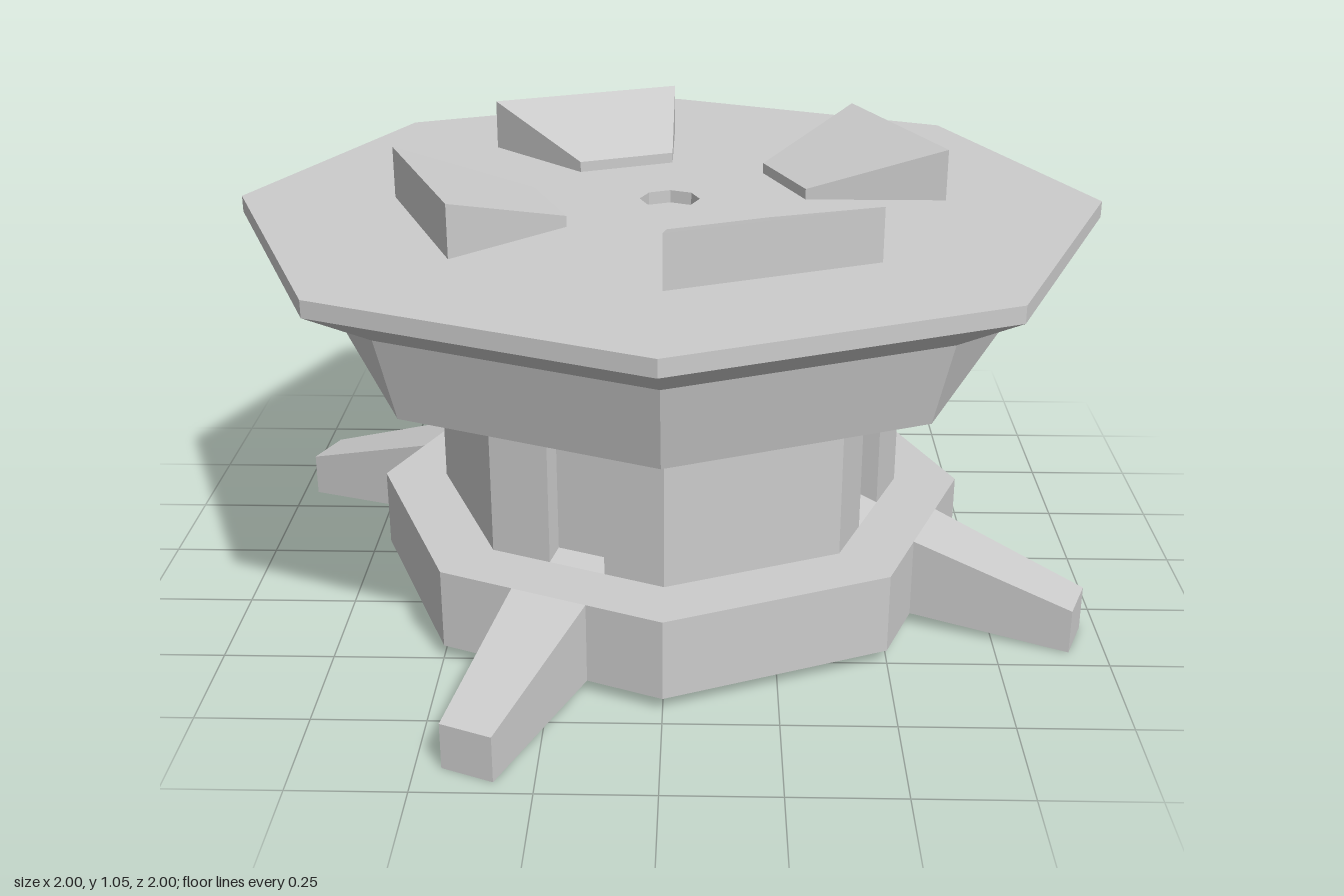
import * as THREE from 'three';

const material = new THREE.MeshStandardMaterial({ color: 0xcccccc, flatShading: true, side: THREE.DoubleSide });
const QUARTER = Math.PI / 2, HALF_SIDE = Math.PI / 8;

// Flat-shaded mesh from quads, corners counter-clockwise seen from outside
function quadMesh(name, quads) {
  const pos = [];
  for (const [a, b, c, d] of quads) pos.push(...a, ...b, ...c, ...a, ...c, ...d);
  const geo = new THREE.BufferGeometry();
  geo.setAttribute('position', new THREE.Float32BufferAttribute(pos, 3));
  geo.computeVertexNormals();
  const mesh = new THREE.Mesh(geo, material);
  mesh.name = name;
  return mesh;
}

// Octagonal turned part with corners on the x and z axes
function octagon(name, profile) {
  const pts = profile.map(([r, y]) => new THREE.Vector2(r, y));
  const mesh = new THREE.Mesh(new THREE.LatheGeometry(pts, 8), material);
  mesh.name = name;
  return mesh;
}

// Upright rectangle facing +z at depth z
const wall = (x0, x1, y0, y1, z) => [[x0, y0, z], [x1, y0, z], [x1, y1, z], [x0, y1, z]];

// Side faces joining a back rectangle to a front rectangle
function sleeve(back, front) {
  return back.map((p, i) => {
    const j = (i + 1) % 4;
    return [p, back[j], front[j], front[i]];
  });
}

// Octagon side: distance from the axis and half width
const side = (r) => [r * Math.cos(HALF_SIDE), r * Math.sin(HALF_SIDE)];

// Four copies around the axis; the part is built facing +z
function fourTimes(name, make, start) {
  const group = new THREE.Group();
  group.name = name;
  for (let i = 0; i < 4; i++) {
    const part = make();
    part.rotation.y = start + i * QUARTER;
    group.add(part);
  }
  return group;
}

export function createModel() {
  const model = new THREE.Group();
  model.name = 'pedestal';
  const colR = 0.555, baseR = 0.705;
  const colLow = 0.22, colHigh = 0.617, baseLow = 0.032;
  const [colZ, colW] = side(colR);
  const [baseZ, baseW] = side(baseR);

  // Collar, flared rim and top plate with the centre hole
  model.add(octagon('topPlatform', [
    [0.025, colHigh], [0.79, colHigh], [0.84, 0.807], [1, 0.897], [1, 0.935],
    [0.07, 0.935], [0.07, 0.905], [0.025, 0.905], [0.025, colHigh],
  ]));

  // Wedge cleats on the top plate, rising outward
  const cleat = () => {
    const s = Math.SQRT1_2;
    const ring = (ri, ro, yi, yo) => [
      [0, yi, ri], [0, yo, ro], [ro * s, yo, ro * s], [ri * s, yi, ri * s],
    ];
    const bottom = ring(0.315, 0.64, 0.935, 0.935), top = ring(0.315, 0.64, 0.96, 1.055);
    return quadMesh('cleat', [top, ...sleeve(bottom, top)]);
  };
  model.add(fourTimes('cleats', cleat, 0));

  // Hollow column: plain sides alternate with recessed sides
  const slot = 0.068;
  const recessedSide = () => {
    const outer = wall(-slot, slot, colLow, colHigh, colZ);
    const inner = wall(-slot, slot, colLow + 0.015, colHigh - 0.017, colZ - 0.045);
    return quadMesh('recessedSide', [
      wall(-colW, -slot, colLow, colHigh, colZ),
      wall(slot, colW, colLow, colHigh, colZ),
      inner, ...sleeve(inner, outer).map((q) => q.reverse()).map((q) => q.reverse()),
    ]);
  };
  const plainSide = () => quadMesh('plainSide', [wall(-colW, colW, colLow, colHigh, colZ)]);
  model.add(fourTimes('columnRecessedSides', recessedSide, -HALF_SIDE));
  model.add(fourTimes('columnPlainSides', plainSide, HALF_SIDE));

  // Base: flange and open skirt, with gaps where the legs join
  const legW = 0.09;
  model.add(octagon('baseFlange', [[baseR, colLow], [colR, colLow]]));
  const skirtLegSide = () => quadMesh('skirtLegSide', [
    wall(-baseW, -legW, baseLow, colLow, baseZ),
    wall(legW, baseW, baseLow, colLow, baseZ),
  ]);
  const skirtPlainSide = () => quadMesh('skirtPlainSide', [wall(-baseW, baseW, baseLow, colLow, baseZ)]);
  model.add(fourTimes('skirtLegSides', skirtLegSide, -HALF_SIDE));
  model.add(fourTimes('skirtPlainSides', skirtPlainSide, HALF_SIDE));

  // Tapered legs
  const leg = () => {
    const root = wall(-legW, legW, baseLow, colLow, baseZ);
    const foot = wall(-0.06, 0.06, 0, 0.106, 1.018);
    return quadMesh('leg', [foot, ...sleeve(root, foot)]);
  };
  model.add(fourTimes('legs', leg, -HALF_SIDE));

  return model;
}
